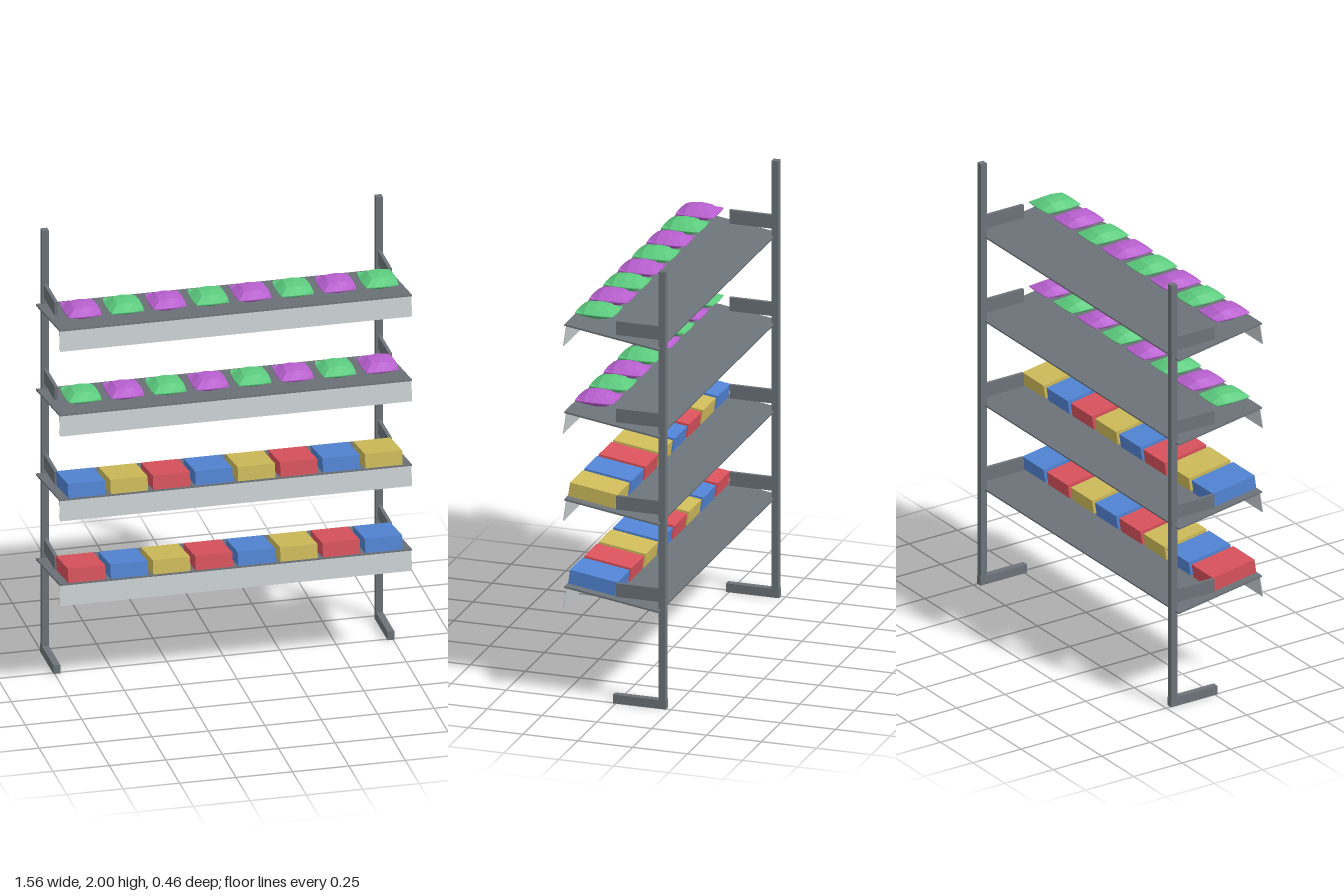
import * as THREE from 'three';

const mat = (name, color, side = THREE.FrontSide) => {
  const m = new THREE.MeshStandardMaterial({ color, side, flatShading: true });
  m.name = name;
  return m;
};

// Pillow-shaped bag: a box whose top and bottom taper to a seam
function bagGeometry(w, h, d) {
  const g = new THREE.BoxGeometry(2, 2, 2, 4, 1, 4);
  const p = g.attributes.position;
  for (let i = 0; i < p.count; i++) {
    const u = p.getX(i), v = p.getZ(i);
    const rise = Math.pow((1 - u * u) * (1 - v * v), 0.55);
    p.setXYZ(i,
      u * (w / 2) * (1 - 0.09 * v * v),
      Math.sign(p.getY(i)) * (h / 2) * (0.06 + 0.94 * rise),
      v * (d / 2) * (1 - 0.05 * u * u));
  }
  g.computeVertexNormals();
  return g;
}

export function createModel() {
  const model = new THREE.Group();
  model.name = 'displayRack';

  const steel = mat('dark steel', 0x6c7378);
  const lipGrey = mat('light grey', 0xc9cfd1);
  const colours = {
    R: mat('red', 0xd8525c),
    B: mat('blue', 0x5284d4),
    Y: mat('yellow', 0xcebb5a),
    P: mat('purple', 0xb75fce),
    G: mat('green', 0x5ccb7e),
  };

  const add = (parent, name, geo, material, x, y, z, rx = 0) => {
    const m = new THREE.Mesh(geo, material);
    m.name = name;
    m.position.set(x, y, z);
    m.rotation.x = rx;
    parent.add(m);
    return m;
  };
  const box = (w, h, d) => new THREE.BoxGeometry(w, h, d);

  // Uprights and feet
  for (const s of [-1, 1]) {
    const side = s > 0 ? 'left' : 'right';
    add(model, side + 'Post', box(0.03, 2, 0.03), steel, s * 0.74, 1, -0.21);
    add(model, side + 'Foot', box(0.03, 0.04, 0.24), steel, s * 0.74, 0.02, -0.108);
  }

  // Shelves with their goods, listed from -x to +x
  const tilt = -0.15;
  const boxGeo = box(0.165, 0.065, 0.217);
  const bagGeo = bagGeometry(0.157, 0.064, 0.178);
  const rows = ['RBYRBYRB', 'BYRBYRBY', 'GPGPGPGP', 'PGPGPGPG'];
  rows.forEach((row, i) => {
    const shelf = new THREE.Group();
    shelf.name = 'shelf' + (i + 1);
    shelf.position.y = 0.515 + 0.4 * i;
    model.add(shelf);

    add(shelf, 'shelfBoard', box(1.56, 0.008, 0.435), steel, 0, -0.032, 0.01, tilt);
    add(shelf, 'frontLip', box(1.56, 0.096, 0.004), lipGrey, 0, -0.049, 0.222, tilt);
    for (const s of [-1, 1]) {
      add(shelf, 'bracket', box(0.015, 0.062, 0.2), steel, s * 0.74, 0.002, -0.1);
    }

    [...row].forEach((c, k) => {
      const x = (k - 3.5) * 0.188;
      if (i < 2) add(shelf, 'carton', boxGeo, colours[c], x, 0.019, 0.11, tilt);
      else add(shelf, 'bag', bagGeo, colours[c], x, 0.041, 0.11);
    });
  });

  return model;
}
